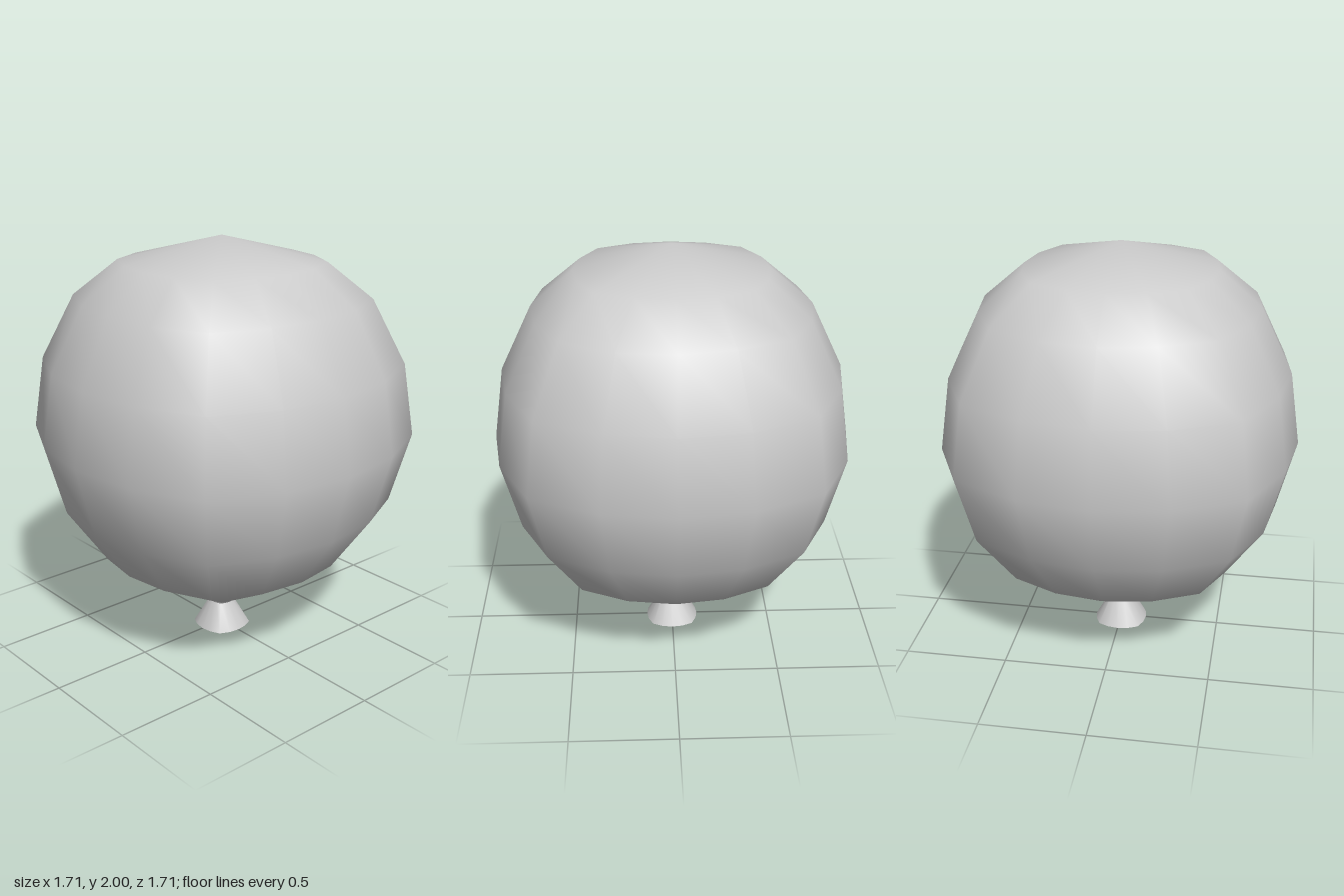
import * as THREE from 'three';
import { mergeVertices } from 'three/addons/utils/BufferGeometryUtils.js';

const SIDES = 16;

// Lathe whose rings bulge on the diagonals, giving a softly squared section
function squaredLathe(profile, bulge) {
  const points = profile.map(([r, y]) => new THREE.Vector2(r, y));
  let geometry = new THREE.LatheGeometry(points, SIDES);
  const pos = geometry.attributes.position;
  for (let i = 0; i < pos.count; i++) {
    const x = pos.getX(i), z = pos.getZ(i);
    const f = 1 + bulge * Math.sin(2 * Math.atan2(x, z)) ** 4;
    pos.setX(i, x * f);
    pos.setZ(i, z * f);
  }
  // weld the seam and poles so the shading is continuous
  geometry.deleteAttribute('uv');
  geometry.deleteAttribute('normal');
  geometry = mergeVertices(geometry, 1e-4);
  geometry.computeVertexNormals();
  return geometry;
}

export function createModel() {
  const group = new THREE.Group();
  group.name = 'balloon';
  const material = new THREE.MeshStandardMaterial({ color: 0xcccccc, side: THREE.DoubleSide });

  function add(name, profile, bulge) {
    const mesh = new THREE.Mesh(squaredLathe(profile, bulge), material);
    mesh.name = name;
    group.add(mesh);
  }

  // Inflated body, bottom to top
  add('balloonBody', [
    [0, 0.10], [0.05, 0.13], [0.58, 0.44], [0.765, 0.71], [0.855, 1.05],
    [0.805, 1.4], [0.655, 1.71], [0.455, 1.88], [0, 2],
  ], 0.08);

  // Flared knot and its dished underside
  add('knotFlare', [[0.13, 0], [0.06, 0.13]], 0.09);
  add('knotUnderside', [[0, 0.04], [0.13, 0]], 0.09);

  return group;
}
